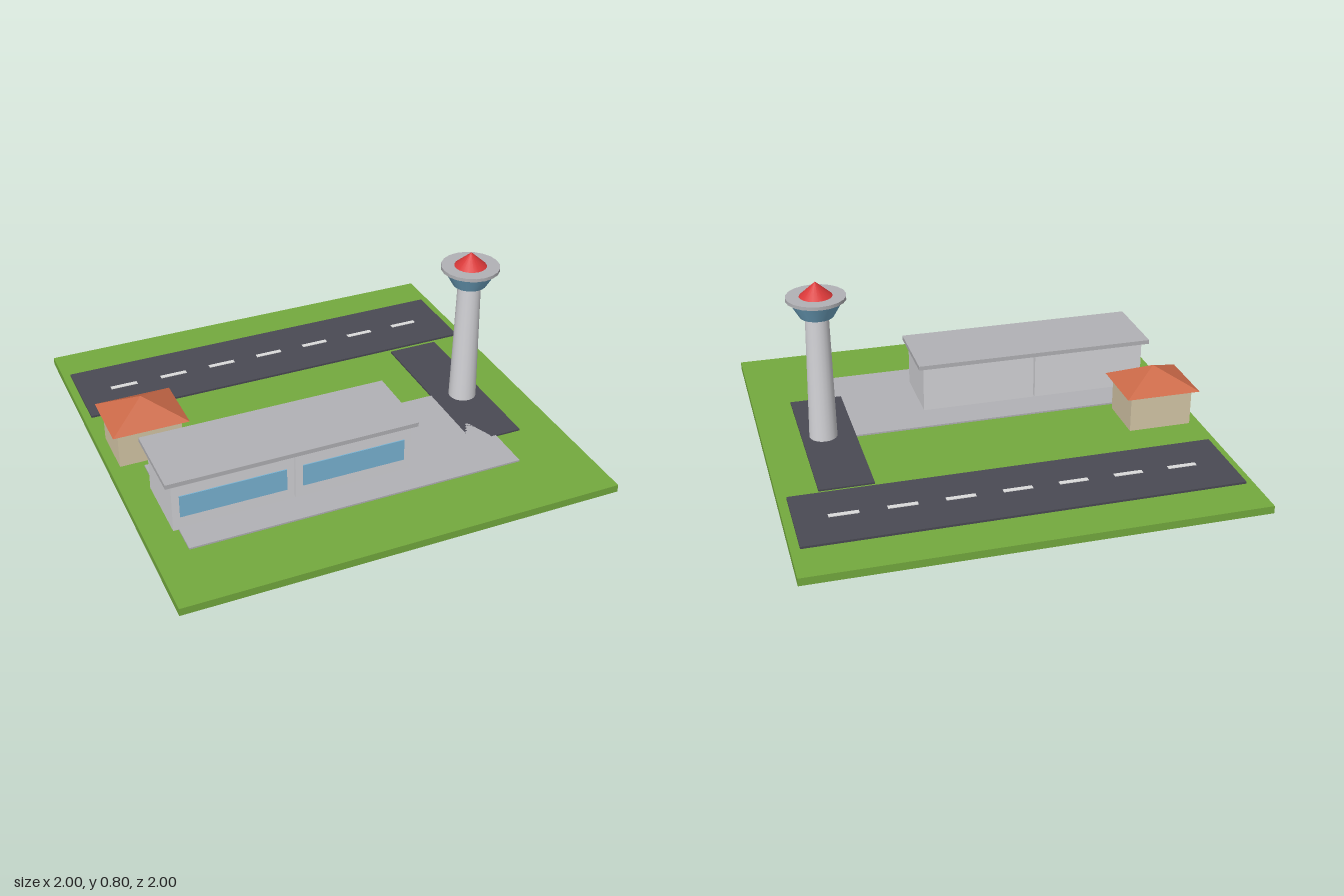
import * as THREE from 'three';

const paint = (name, color) => {
  const m = new THREE.MeshStandardMaterial({ color });
  m.name = name;
  return m;
};

export function createModel() {
  const grass = paint('grass', 0x74aa3e);
  const asphalt = paint('asphalt', 0x4a4a54);
  const concrete = paint('concrete', 0xb2b2b6);
  const wall = paint('wall', 0xd4d4d8);
  const marking = paint('marking', 0xdcdcdc);
  const glass = paint('glass', 0x7ab4d4);
  const cream = paint('cream', 0xd6c8a8);
  const terracotta = paint('terracotta', 0xcc6a48);
  const red = paint('red', 0xd83838);

  const airport = new THREE.Group();
  airport.name = 'airport';

  const add = (name, geometry, material, parent = airport) => {
    const mesh = new THREE.Mesh(geometry, material);
    mesh.name = name;
    parent.add(mesh);
    return mesh;
  };
  // box given by its limits on each axis
  const block = (name, material, [x0, x1], [y0, y1], [z0, z1], parent) => {
    const mesh = add(name, new THREE.BoxGeometry(x1 - x0, y1 - y0, z1 - z0), material, parent);
    mesh.position.set((x0 + x1) / 2, (y0 + y1) / 2, (z0 + z1) / 2);
    return mesh;
  };

  const G = 0.035; // top of the lawn

  // lawn and paved surfaces
  block('lawn', grass, [-1, 1], [0, G], [-1, 1]);
  block('runway', asphalt, [-0.965, 0.96], [G, 0.045], [-0.8, -0.405]);
  block('taxiway', asphalt, [0.575, 0.82], [G, 0.043], [-0.38, 0.47]);
  for (let i = 0; i < 7; i++) {
    const x = -0.75 + i * 0.25;
    block('runwayStripe', marking, [x - 0.065, x + 0.065], [0.045, 0.048], [-0.612, -0.59]);
  }

  // apron, cut back where the taxiway joins it
  const outline = [
    [-0.85, 0.06], [0.575, 0.06], [0.575, 0.2], [0.67, 0.37],
    [0.67, 0.47], [0.695, 0.47], [0.695, 0.68], [-0.85, 0.68],
  ].map(([x, z]) => new THREE.Vector2(x, -z));
  const apron = add('apron', new THREE.ExtrudeGeometry(new THREE.Shape(outline),
    { depth: 0.008, bevelEnabled: false }), concrete);
  apron.rotation.x = -Math.PI / 2;
  apron.position.y = G;

  // terminal: two halls under one flat roof
  const terminal = new THREE.Group();
  terminal.name = 'terminal';
  airport.add(terminal);
  for (const x of [-0.602, -0.052]) {
    block('hall', wall, [x - 0.271, x + 0.271], [G, 0.268], [0.22, 0.54], terminal);
    block('hallWindow', glass, [x - 0.238, x + 0.238], [0.1, 0.205], [0.54, 0.545], terminal);
  }
  block('terminalRoof', concrete, [-0.9, 0.245], [0.268, 0.288], [0.19, 0.557], terminal);

  // hut with a hipped roof
  const hut = new THREE.Group();
  hut.name = 'hut';
  airport.add(hut);
  block('hutWalls', cream, [-0.95, -0.655], [G, 0.215], [-0.22, 0.02], hut);
  const pyramid = new THREE.ConeGeometry(Math.SQRT1_2, 1, 4).toNonIndexed();
  pyramid.rotateY(Math.PI / 4);
  pyramid.scale(0.35, 0.09, 0.3);
  pyramid.computeVertexNormals();
  add('hutRoof', pyramid, terracotta, hut).position.set(-0.802, 0.255, -0.1);

  // control tower
  const tower = new THREE.Group();
  tower.name = 'controlTower';
  tower.position.set(0.72, 0, 0.1);
  airport.add(tower);
  const ring = (name, material, rTop, rBottom, y0, y1) => {
    add(name, new THREE.CylinderGeometry(rTop, rBottom, y1 - y0, 20), material, tower)
      .position.y = (y0 + y1) / 2;
  };
  ring('towerShaft', wall, 0.053, 0.065, G, 0.642);
  ring('towerCab', glass, 0.123, 0.077, 0.64, 0.72);
  ring('towerRoof', concrete, 0.134, 0.134, 0.718, 0.734);
  ring('towerCap', red, 0, 0.074, 0.734, 0.8);

  return airport;
}
